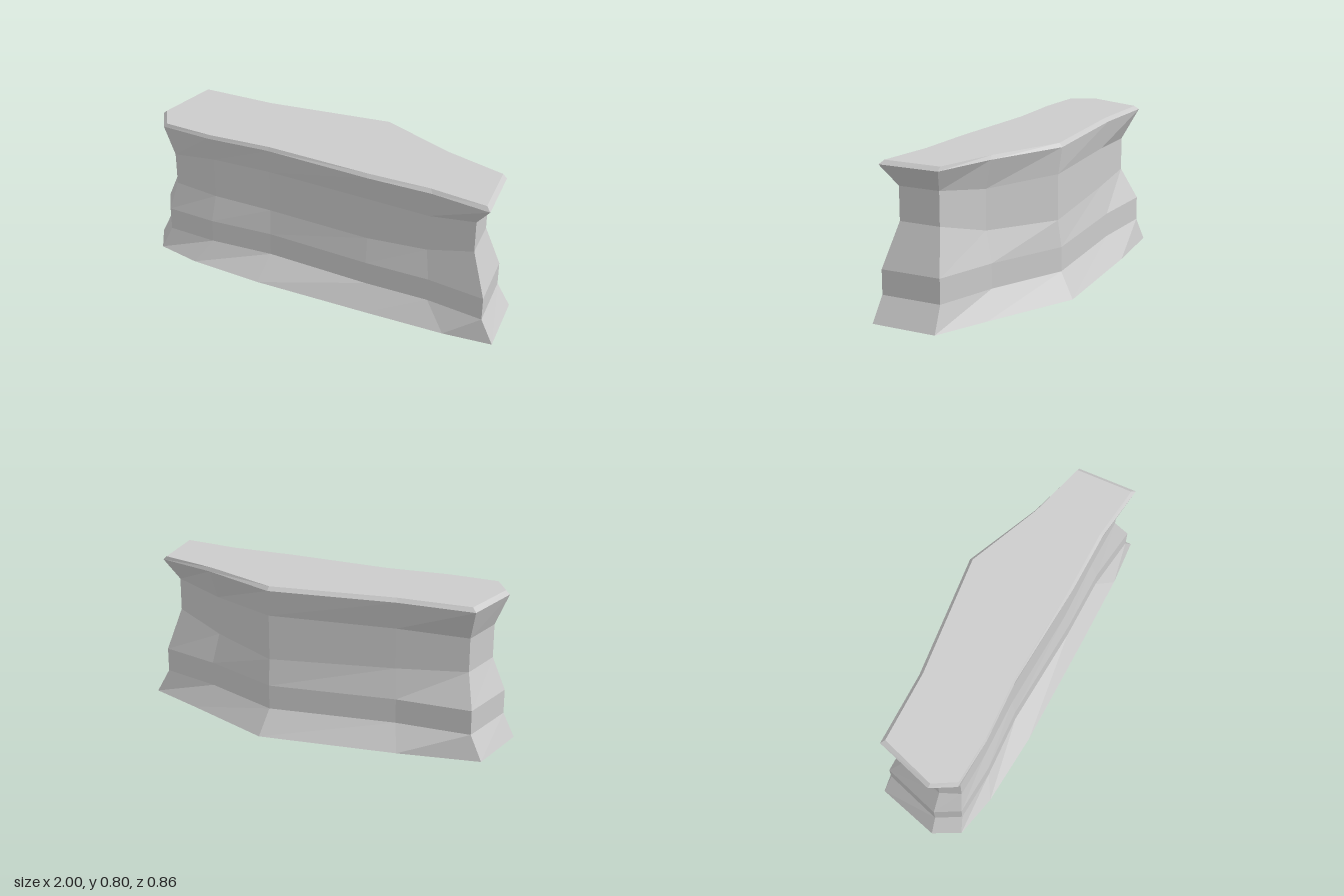
import * as THREE from 'three';

// Plan outlines as [x, z], clockwise from the right-hand end
const footPlan = [
  [-1, -0.11], [-0.86, -0.43], [-0.43, -0.42], [0.30, -0.37], [0.74, -0.08], [1, 0.085],
  [0.96, 0.43], [0.70, 0.405], [0.28, 0.335], [-0.34, 0.225], [-0.73, 0.13], [-0.95, 0.04],
];
const rimPlan = [
  [-0.94, -0.105], [-0.80, -0.40], [-0.41, -0.335], [0.26, -0.295], [0.63, -0.06], [0.93, 0.085],
  [0.895, 0.405], [0.60, 0.315], [0.26, 0.255], [-0.29, 0.13], [-0.63, 0.09], [-0.89, 0.03],
];
const neckPlan = [
  [-0.87, -0.09], [-0.77, -0.31], [-0.40, -0.30], [0.26, -0.275], [0.60, -0.02], [0.85, 0.115],
  [0.825, 0.335], [0.58, 0.28], [0.26, 0.23], [-0.29, 0.11], [-0.61, 0.065], [-0.84, 0.02],
];
// The neck rises and falls along the outline
const neckLow = [0.43, 0.43, 0.415, 0.40, 0.415, 0.49, 0.49, 0.42, 0.40, 0.40, 0.41, 0.43];
const neckHigh = [0.61, 0.61, 0.63, 0.64, 0.625, 0.665, 0.665, 0.625, 0.64, 0.64, 0.64, 0.61];

// Lift a plan outline to a height (one number, or one per corner)
const ring = (plan, y, sx = 1, sz = 1) =>
  plan.map(([x, z], i) => new THREE.Vector3(x * sx, Array.isArray(y) ? y[i] : y, z * sz));

function toMesh(name, points) {
  const geometry = new THREE.BufferGeometry().setFromPoints(points);
  geometry.computeVertexNormals();
  const mesh = new THREE.Mesh(geometry, new THREE.MeshStandardMaterial({ color: 0xcccccc, flatShading: true }));
  mesh.name = name;
  return mesh;
}

// Wall strip through a stack of rings, bottom to top
function wall(name, rings) {
  const points = [];
  for (let r = 0; r < rings.length - 1; r++) {
    const lo = rings[r], hi = rings[r + 1];
    for (let i = 0; i < lo.length; i++) {
      const j = (i + 1) % lo.length;
      points.push(lo[j], lo[i], hi[i], lo[j], hi[i], hi[j]);
    }
  }
  return toMesh(name, points);
}

// Flat lid over a ring, facing up or down
function cap(name, loop, up) {
  const flat = loop.map((p) => new THREE.Vector2(p.x, p.z));
  const points = [];
  for (const [a, b, c] of THREE.ShapeUtils.triangulateShape(flat, [])) {
    const facesUp = THREE.ShapeUtils.area([flat[a], flat[b], flat[c]]) < 0;
    points.push(loop[a], ...(facesUp === up ? [loop[b], loop[c]] : [loop[c], loop[b]]));
  }
  return toMesh(name, points);
}

export function createModel() {
  const group = new THREE.Group();
  group.name = 'pedestal';

  const foot = ring(footPlan, 0);
  const bandLow = ring(rimPlan, 0.13);
  const bandHigh = ring(rimPlan, 0.26);
  const neckBottom = ring(neckPlan, neckLow);
  const neckTop = ring(neckPlan, neckHigh);
  const rim = ring(rimPlan, 0.78);
  const top = ring(rimPlan, 0.8, 0.978, 0.945);

  group.add(
    cap('underside', foot, false),
    wall('base', [foot, bandLow, bandHigh]),
    wall('neck', [bandHigh, neckBottom, neckTop]),
    wall('flare', [neckTop, rim]),
    wall('rimBevel', [rim, top]),
    cap('tabletop', top, true),
  );
  return group;
}
